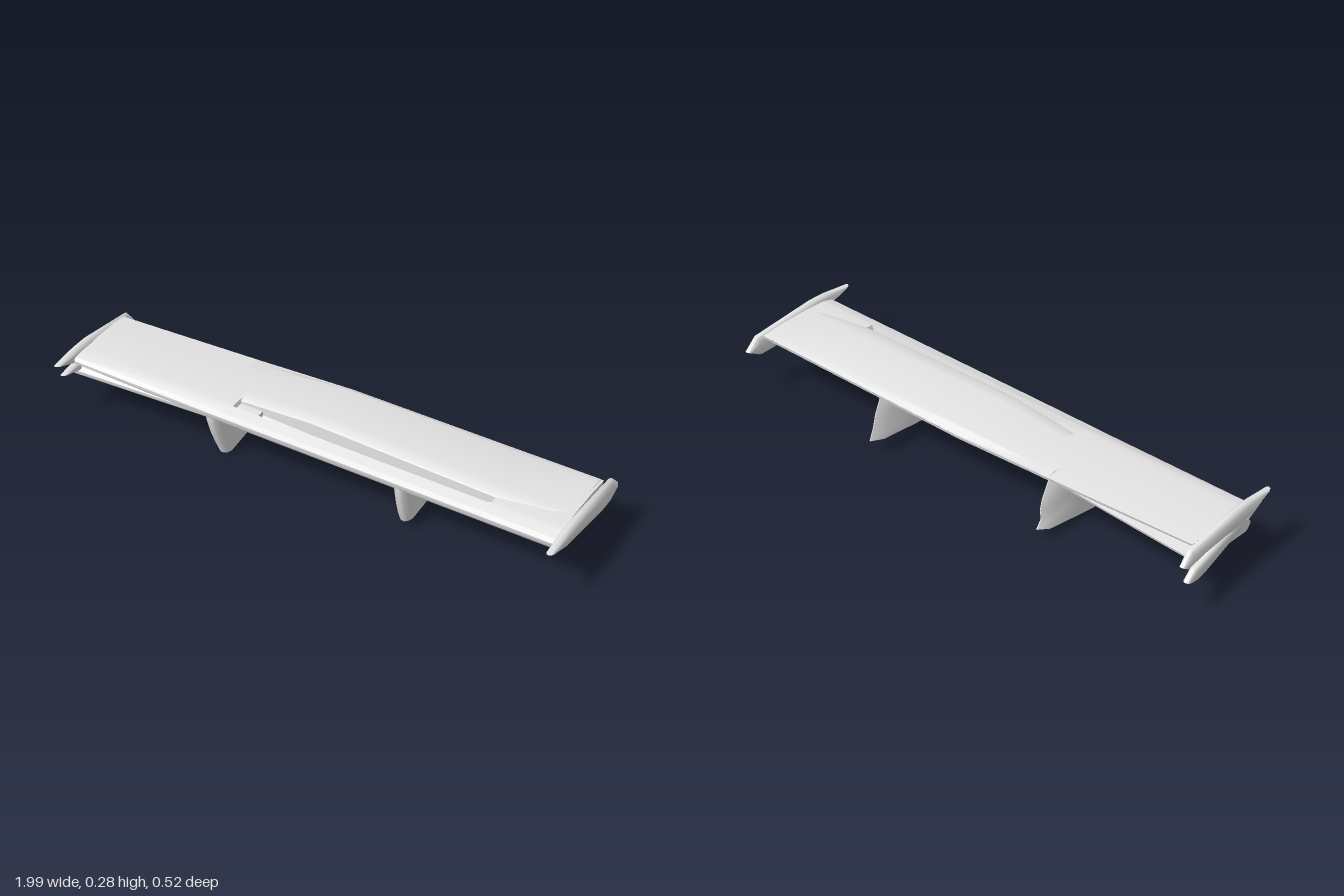
import * as THREE from 'three';
import { toCreasedNormals } from 'three/addons/utils/BufferGeometryUtils.js';

// Skin a closed solid through rings of [x, y, z] points, with fan caps.
function loft(rings, crease = 0.6) {
  const n = rings[0].length, pos = rings.flat(2), idx = [];
  for (let r = 0; r < rings.length - 1; r++)
    for (let i = 0; i < n; i++) {
      const a = r * n + i, b = r * n + (i + 1) % n;
      idx.push(a, b, b + n, a, b + n, a + n);
    }
  [0, rings.length - 1].forEach((r, end) => {
    const c = pos.length / 3;
    pos.push(...[0, 1, 2].map(k => rings[r].reduce((s, p) => s + p[k], 0) / n));
    for (let i = 0; i < n; i++) {
      const a = r * n + i, b = r * n + (i + 1) % n;
      if (end) idx.push(c, a, b); else idx.push(c, b, a);
    }
  });
  // Turn the faces outward when the enclosed volume is negative.
  const P = i => new THREE.Vector3().fromArray(pos, i * 3);
  let volume = 0;
  for (let i = 0; i < idx.length; i += 3)
    volume += P(idx[i]).dot(P(idx[i + 1]).cross(P(idx[i + 2])));
  if (volume < 0) idx.reverse();
  const g = new THREE.BufferGeometry();
  g.setAttribute('position', new THREE.Float32BufferAttribute(pos, 3));
  g.setIndex(idx);
  return toCreasedNormals(g, crease);
}

// Airfoil section: rounded nose, optional groove behind it, thin rear lip.
function wingRing(x, top, bottom, rear, front = 0.17, groove = 0) {
  const h = top - bottom;
  return [
    [0.135, 0], [front - 0.012, 0.1], [front - 0.002, 0.3], [front, 0.55],
    [front - 0.01, 0.78], [0.122, 0.95], [0.116, 0.96 - 0.5 * groove],
    [0.085, 0.98 - 0.5 * groove], [0.03, 1], [rear * 0.5, 0.93], [rear, 0.8],
    [rear + 0.004, 0.6], [rear * 0.75, 0.33], [rear * 0.4, 0.2], [0.03, 0.1],
  ].map(([z, t]) => [x, bottom + h * t, z]);
}

// Raised skin along the middle of the wing.
function humpRing(x, front, top, rear, rearTop) {
  return [
    [front, 0.222], [front, top - 0.008], [front - 0.012, top - 0.002], [0.03, top],
    [rear + 0.03, rearTop], [rear, 0.243], [rear + 0.01, 0.232], [0, 0.222],
  ].map(([z, y]) => [x, y, z]);
}

// Strut level: rounded nose, straight flanks and a pointed tail.
function strutRing(zf, yf, zr, yr, w) {
  const half = [[0, 0.25], [0.025, 0.7], [0.08, 1], [0.45, 1], [0.86, 0.95], [1, 0.06]];
  const point = ([t, k], s) => [s * k * w, yf + (yr - yf) * t, zf + (zr - zf) * t];
  return [...half.map(p => point(p, 1)), ...[...half].reverse().map(p => point(p, -1))];
}

// End plate: a long pointed outline, swollen through its thickness.
function endPlateGeometry(rear = 1) {
  const outline = [
    [0.26, 0.257], [0.14, 0.271], [0.07, 0.271], [-0.21, 0.245],
    [-0.26, 0.197], [-0.2, 0.161], [-0.14, 0.163], [0.16, 0.215],
  ];
  const layers = [[-0.022, 0.55], [-0.013, 0.9], [0, 1], [0.013, 0.9], [0.022, 0.55]];
  return loft(layers.map(([x, k]) => outline.map(([z, y]) => {
    const mid = 0.214 + z * 0.12;
    const zz = z * (0.86 + 0.14 * k);
    return [x * (1 - Math.abs(z) * 1.6), mid + (y - mid) * k, z < 0 ? zz * rear : zz];
  })), 1.2);
}

export function createModel() {
  const group = new THREE.Group();
  const grey = new THREE.MeshStandardMaterial({ color: 0xe4e4e4, side: THREE.DoubleSide });
  grey.name = 'lightGrey';
  const add = (name, geometry) => {
    const mesh = new THREE.Mesh(geometry, grey);
    mesh.name = name;
    group.add(mesh);
    return mesh;
  };

  // Main wing, narrowing toward its right end, with a groove behind the nose
  add('mainWing', loft([
    wingRing(-0.95, 0.254, 0.208, -0.137),
    wingRing(-0.36, 0.256, 0.192, -0.168),
    wingRing(-0.295, 0.257, 0.191, -0.171),
    wingRing(-0.285, 0.257, 0.191, -0.172, 0.17, 1),
    wingRing(0, 0.258, 0.19, -0.188, 0.17, 1),
    wingRing(0.695, 0.256, 0.19, -0.188, 0.17, 1),
    wingRing(0.705, 0.256, 0.19, -0.188),
    wingRing(0.96, 0.255, 0.19, -0.188),
  ]));

  // Raised middle, highest at the centre
  add('raisedTopPanel', loft([
    humpRing(-0.38, 0.07, 0.252, -0.166, 0.249),
    humpRing(-0.285, 0.078, 0.258, -0.171, 0.251),
    humpRing(0, 0.085, 0.279, -0.188, 0.263),
    humpRing(0.7, 0.09, 0.262, -0.188, 0.253),
    humpRing(0.95, 0.06, 0.255, -0.188, 0.248),
  ], 0.5));

  // Drooping lower wing on the right side
  add('lowerWing', loft([
    wingRing(-0.965, 0.206, 0.15, -0.145, 0.156),
    wingRing(-0.36, 0.24, 0.19, -0.15, 0.166),
    wingRing(-0.2, 0.242, 0.195, -0.15, 0.164),
  ]));

  // End plates
  add('leftEndPlate', endPlateGeometry()).position.x = 0.977;
  add('rightEndPlate', endPlateGeometry(0.78)).position.x = -0.957;
  const lower = add('lowerRightEndPlate', endPlateGeometry(0.78));
  lower.scale.y = 0.75;
  lower.position.set(-0.945, 0.014, 0);
  lower.rotation.set(-0.05, 0.1, 0.1);

  // Struts, with bowed leading edges
  add('leftStrut', loft([
    strutRing(0.12, 0.036, -0.23, 0.066, 0.024),
    strutRing(0.136, 0.075, -0.222, 0.086, 0.024),
    strutRing(0.15, 0.125, -0.21, 0.116, 0.024),
    strutRing(0.163, 0.18, -0.198, 0.162, 0.024),
    strutRing(0.166, 0.215, -0.17, 0.225, 0.024),
  ], 0.8)).position.x = 0.382;
  add('rightStrut', loft([
    strutRing(0.088, 0, -0.207, 0.048, 0.026),
    strutRing(0.115, 0.06, -0.185, 0.08, 0.026),
    strutRing(0.14, 0.12, -0.19, 0.12, 0.026),
    strutRing(0.158, 0.18, -0.18, 0.16, 0.026),
    strutRing(0.162, 0.215, -0.15, 0.22, 0.026),
  ], 0.8)).position.x = -0.371;

  return group;
}
